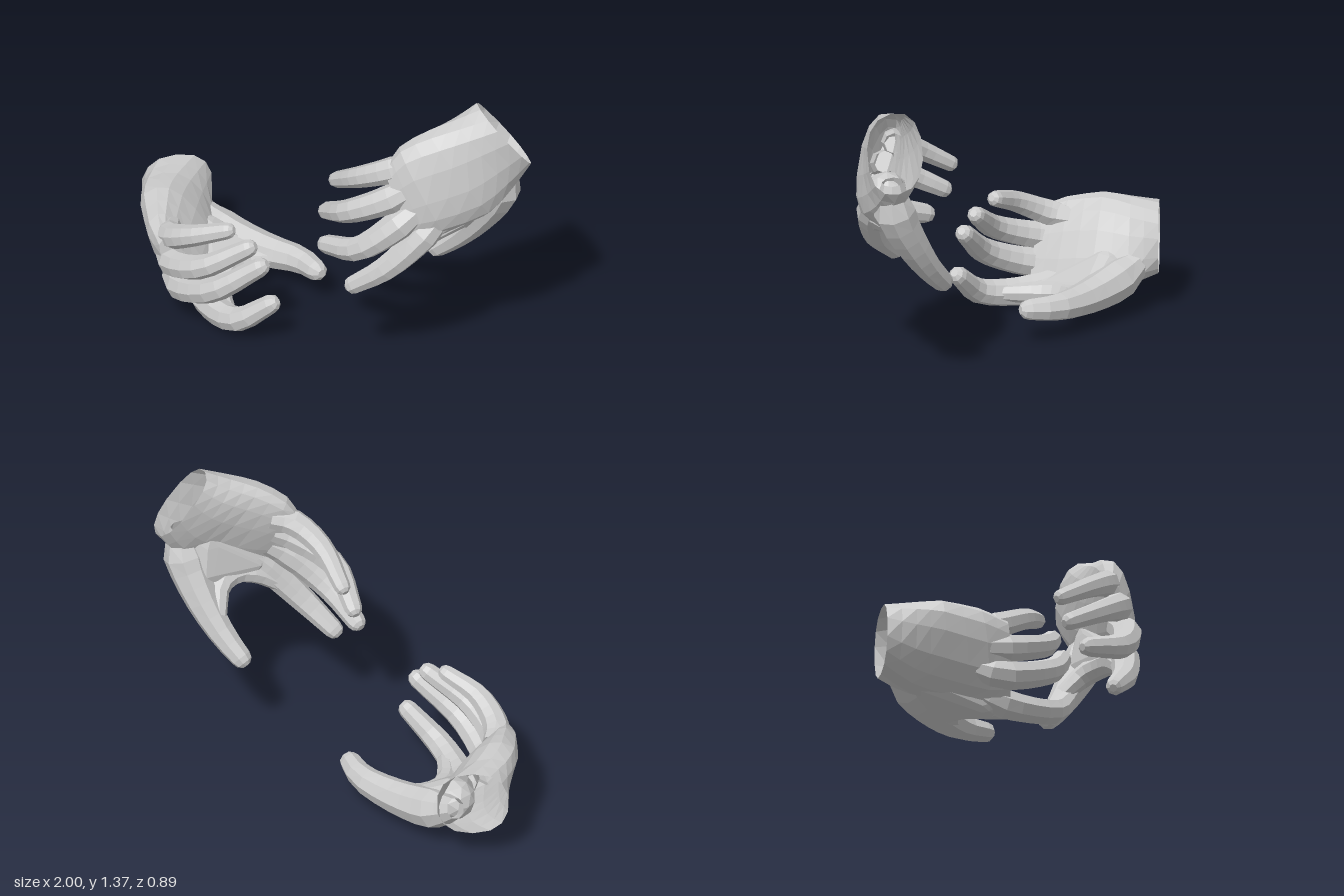
import * as THREE from 'three';
import { ConvexGeometry } from 'three/addons/geometries/ConvexGeometry.js';

const V = (a) => new THREE.Vector3(...a);
const skin = new THREE.MeshStandardMaterial({ color: 0xcccccc, flatShading: true, side: THREE.DoubleSide });

function part(name, geometry) {
  const mesh = new THREE.Mesh(geometry, skin);
  mesh.name = name;
  return mesh;
}

// Skin a row of rings {c, u, v, under}: centre, two half axes, and how far
// the -v side is flattened. The far end is closed.
function loft(rings, sides, power = 1) {
  const pos = [], idx = [];
  const along = rings[1].c.clone().sub(rings[0].c);
  const flip = new THREE.Vector3().crossVectors(rings[0].u, rings[0].v).dot(along) < 0 ? -1 : 1;
  const round = (t) => Math.sign(t) * Math.abs(t) ** power;
  for (const { c, u, v, under = 1 } of rings) {
    for (let i = 0; i < sides; i++) {
      const a = (flip * i * 2 * Math.PI) / sides;
      const s = round(Math.sin(a));
      const p = c.clone().addScaledVector(u, round(Math.cos(a))).addScaledVector(v, s < 0 ? s * under : s);
      pos.push(p.x, p.y, p.z);
    }
  }
  for (let r = 0; r < rings.length - 1; r++) {
    for (let i = 0; i < sides; i++) {
      const a = r * sides + i, b = r * sides + ((i + 1) % sides);
      idx.push(a, b, a + sides, b, b + sides, a + sides);
    }
  }
  const last = (rings.length - 1) * sides, end = rings[rings.length - 1].c;
  pos.push(end.x, end.y, end.z);
  for (let i = 0; i < sides; i++) idx.push(last + i, last + ((i + 1) % sides), last + sides);
  const g = new THREE.BufferGeometry();
  g.setAttribute('position', new THREE.Float32BufferAttribute(pos, 3));
  g.setIndex(idx);
  g.computeVertexNormals();
  return g;
}

// Palm and wrist: smooth through [centre, across, thickness] rings, flatter on the inside
function palmGeometry(rows) {
  const [c, u, v] = [0, 1, 2].map((k) => new THREE.CatmullRomCurve3(rows.map((r) => V(r[k]))));
  const rings = [];
  for (let i = 0; i <= 8; i++) {
    const t = i / 8;
    rings.push({ c: c.getPoint(t), u: u.getPoint(t), v: v.getPoint(t), under: THREE.MathUtils.lerp(1, 0.35, t) });
  }
  return loft(rings, 14, 0.85);
}

// Finger: tapered tube along a curve, with a rounded tip
function fingerGeometry(points, radii, steps = 9) {
  const curve = new THREE.CatmullRomCurve3(points.map(V));
  const { normals, binormals, tangents } = curve.computeFrenetFrames(steps);
  const rings = [];
  const add = (c, i, r) => rings.push({
    c, u: normals[i].clone().multiplyScalar(r), v: binormals[i].clone().multiplyScalar(r),
  });
  for (let i = 0; i <= steps; i++) {
    const t = curve.getUtoTmapping(i / steps) * (radii.length - 1);
    const k = Math.min(Math.floor(t), radii.length - 2);
    add(curve.getPointAt(i / steps), i, THREE.MathUtils.lerp(radii[k], radii[k + 1], t - k));
  }
  const tip = curve.getPointAt(1), r = radii[radii.length - 1];
  for (const a of [0.6, 1.15]) {
    add(tip.clone().addScaledVector(tangents[steps], r * Math.sin(a)), steps, r * Math.cos(a));
  }
  return loft(rings, 8);
}

// Ball of the thumb: hull around a few balls [x, y, z, radius]
function hullGeometry(balls) {
  const pts = [];
  for (const [x, y, z, r] of balls) {
    const p = new THREE.IcosahedronGeometry(r, 1).getAttribute('position');
    for (let i = 0; i < p.count; i++) {
      pts.push(new THREE.Vector3().fromBufferAttribute(p, i).add(new THREE.Vector3(x, y, z)));
    }
  }
  return new ConvexGeometry(pts);
}

function hand(name, { palm, fingers, thumb, web, ball }) {
  const group = new THREE.Group();
  group.name = name;
  group.add(part('palm', palmGeometry(palm)));
  group.add(part('thumbBall', hullGeometry(ball)));
  group.add(part('thumbWeb', fingerGeometry(web, [0.04, 0.055, 0.055, 0.055, 0.04])));
  group.add(part('thumb', fingerGeometry(thumb, [0.05, 0.1, 0.08, 0.062, 0.05])));
  const wrist = V(palm[0][0]);
  for (const [finger, { path, size }] of Object.entries(fingers)) {
    // root each finger inside the palm
    const root = V(path[0]).lerp(wrist, 0.2).toArray();
    const radii = [0.055, 0.073, 0.06, 0.045].map((r) => r * size);
    group.add(part(finger, fingerGeometry([root, ...path], radii)));
  }
  return group;
}

export function createModel() {
  const model = new THREE.Group();
  model.name = 'pairOfHands';

  // Lower hand, palm cupped upwards
  model.add(hand('lowerHand', {
    palm: [
      [[-0.89, 0.33, -0.125], [0, -0.165, 0], [-0.11, 0, 0.125]],
      [[-0.79, 0.305, -0.03], [0.06, -0.185, -0.06], [-0.1, -0.01, 0.115]],
      [[-0.69, 0.295, 0.08], [0.1, -0.2, -0.07], [-0.1, -0.03, 0.1]],
      [[-0.58, 0.26, 0.22], [0.1, -0.2, -0.06], [-0.06, -0.04, 0.09]],
      [[-0.51, 0.24, 0.32], [0.07, -0.165, -0.05], [-0.03, -0.02, 0.04]],
    ],
    fingers: {
      indexFinger: { path: [[-0.44, 0.078, 0.23], [-0.19, 0.1, 0.32], [-0.02, 0.23, 0.275]], size: 1 },
      middleFinger: { path: [[-0.54, 0.16, 0.31], [-0.28, 0.255, 0.38], [-0.07, 0.42, 0.29]], size: 1 },
      ringFinger: { path: [[-0.57, 0.28, 0.33], [-0.34, 0.36, 0.385], [-0.14, 0.495, 0.29]], size: 0.95 },
      littleFinger: { path: [[-0.59, 0.395, 0.305], [-0.43, 0.475, 0.345], [-0.26, 0.545, 0.295]], size: 0.87 },
    },
    thumb: [[-0.79, 0.26, -0.14], [-0.63, 0.18, -0.135], [-0.4, 0.15, -0.165], [-0.21, 0.16, -0.185], [-0.09, 0.17, -0.15]],
    web: [[-0.32, 0.145, -0.155], [-0.44, 0.125, -0.07], [-0.46, 0.105, 0.04], [-0.41, 0.085, 0.16], [-0.29, 0.085, 0.26]],
    ball: [[-0.5, 0.14, -0.11, 0.07], [-0.48, 0.075, 0.17, 0.065], [-0.66, 0.2, -0.03, 0.1]],
  }));

  // Upper hand, reaching down
  model.add(hand('upperHand', {
    palm: [
      [[0.87, 1.22, -0.33], [0.06, -0.155, -0.1], [0.115, -0.02, 0.06]],
      [[0.82, 1.14, -0.24], [0.09, -0.19, -0.1], [0.1, 0.01, 0.08]],
      [[0.765, 1.07, -0.13], [0.12, -0.215, -0.08], [0.08, 0.03, 0.09]],
      [[0.66, 1.0, 0.01], [0.11, -0.205, -0.03], [0.05, 0.04, 0.08]],
      [[0.59, 0.94, 0.09], [0.08, -0.155, -0.01], [0.02, 0.02, 0.04]],
    ],
    fingers: {
      indexFinger: { path: [[0.7, 0.79, 0.04], [0.57, 0.61, 0.155], [0.42, 0.485, 0.215]], size: 1 },
      middleFinger: { path: [[0.62, 0.855, 0.12], [0.455, 0.7, 0.22], [0.245, 0.625, 0.195]], size: 1 },
      ringFinger: { path: [[0.57, 0.97, 0.115], [0.385, 0.865, 0.195], [0.195, 0.755, 0.13]], size: 0.95 },
      littleFinger: { path: [[0.54, 1.09, 0.07], [0.385, 1.01, 0.11], [0.205, 0.9, 0.07]], size: 0.87 },
    },
    thumb: [[0.875, 1.08, -0.32], [0.86, 0.93, -0.315], [0.75, 0.74, -0.31], [0.63, 0.59, -0.29], [0.53, 0.495, -0.265]],
    web: [[0.66, 0.67, -0.285], [0.73, 0.775, -0.21], [0.735, 0.795, -0.11], [0.7, 0.775, -0.02], [0.63, 0.69, 0.09]],
    ball: [[0.79, 0.85, -0.26, 0.07], [0.72, 0.83, -0.02, 0.065], [0.83, 0.99, -0.22, 0.1]],
  }));

  return model;
}
